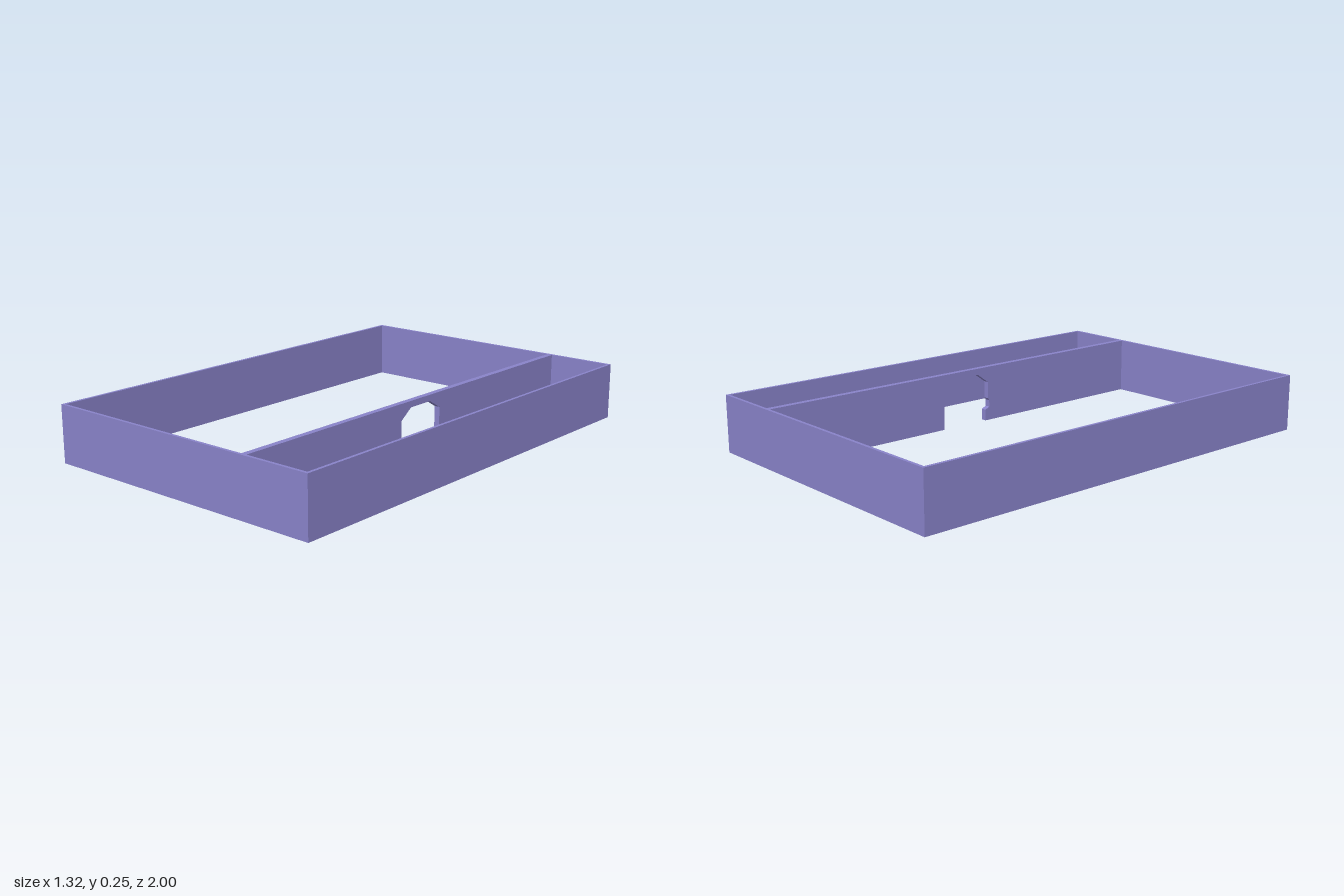
import * as THREE from 'three';

const WIDTH = 1.316, LENGTH = 2, HEIGHT = 0.245, WALL = 0.013;

const toPath = (points, Type) => new Type(points.map(([x, y]) => new THREE.Vector2(x, y)));

const rectangle = (w, h) => [[-w / 2, -h / 2], [w / 2, -h / 2], [w / 2, h / 2], [-w / 2, h / 2]];

export function createModel() {
  const group = new THREE.Group();
  group.name = 'dividedFrame';
  const material = new THREE.MeshStandardMaterial({ color: 0x8983c9, flatShading: true });

  // Outer wall: open rectangular frame, extruded upwards
  const outline = toPath(rectangle(WIDTH, LENGTH), THREE.Shape);
  outline.holes.push(toPath(rectangle(WIDTH - 2 * WALL, LENGTH - 2 * WALL), THREE.Path));
  const wallGeometry = new THREE.ExtrudeGeometry(outline, { depth: HEIGHT, bevelEnabled: false });
  wallGeometry.rotateX(-Math.PI / 2);
  const outerWall = new THREE.Mesh(wallGeometry, material);
  outerWall.name = 'outerWall';

  // Divider: lengthwise panel (z, y profile) with a faceted archway and a small step on one jamb
  const end = LENGTH / 2 - WALL;
  const profile = toPath([
    [-end, 0], [-0.125, 0],
    [-0.125, 0.18], [-0.06, 0.218], [0.065, 0.218], [0.125, 0.175],
    [0.125, 0.1], [0.132, 0.09], [0.132, 0.06], [0.11, 0.05], [0.11, 0],
    [end, 0], [end, HEIGHT], [-end, HEIGHT],
  ], THREE.Shape);
  const dividerGeometry = new THREE.ExtrudeGeometry(profile, { depth: 0.025, bevelEnabled: false });
  dividerGeometry.rotateY(-Math.PI / 2);
  const divider = new THREE.Mesh(dividerGeometry, material);
  divider.name = 'divider';
  divider.position.x = 0.361;

  group.add(outerWall, divider);
  return group;
}
